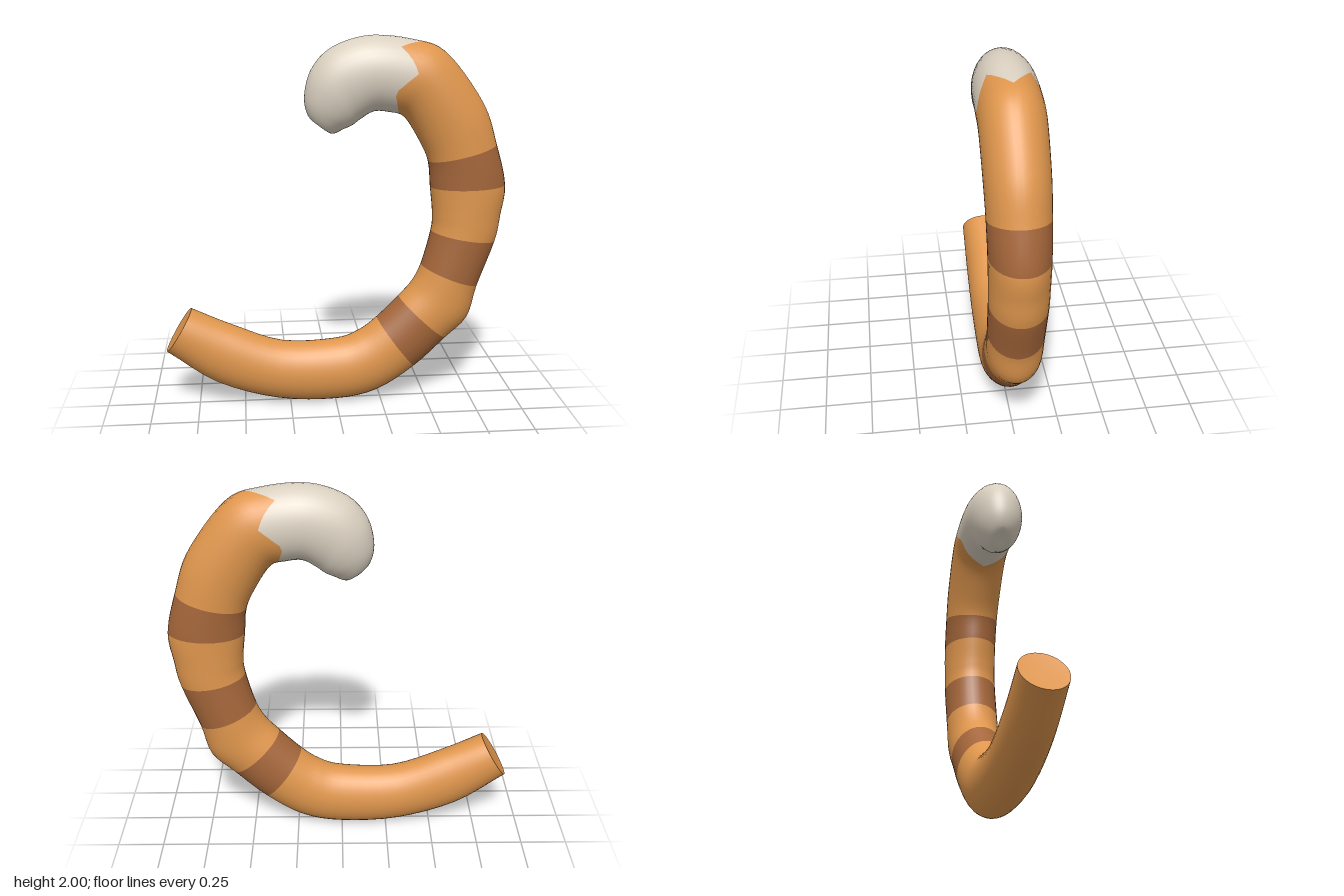
import * as THREE from 'three';

// Cross-sections from base to tip: outer edge x, y, inner edge x, y, half depth in z
const SECTIONS = [
  [-0.92, 0.32, -0.78, 0.55, 0.12],
  [-0.65, 0.13, -0.56, 0.45, 0.123],
  [-0.32, 0.025, -0.29, 0.35, 0.127],
  [0.0, 0.008, 0.0, 0.352, 0.132],
  [0.23, 0.055, 0.13, 0.395, 0.136],
  [0.44, 0.19, 0.23, 0.47, 0.139],
  [0.61, 0.35, 0.35, 0.59, 0.141],
  [0.73, 0.47, 0.42, 0.67, 0.143],
  [0.78, 0.65, 0.47, 0.77, 0.145],
  [0.87, 0.90, 0.52, 0.96, 0.147],
  [0.895, 1.04, 0.525, 1.06, 0.148],
  [0.915, 1.21, 0.51, 1.20, 0.15],
  [0.86, 1.43, 0.495, 1.34, 0.153],
  [0.78, 1.65, 0.44, 1.46, 0.157],
  [0.58, 1.91, 0.36, 1.58, 0.16],
  [0.40, 1.98, 0.28, 1.605, 0.161],
  [0.17, 2.0, 0.20, 1.61, 0.158],
  [-0.02, 1.94, 0.13, 1.57, 0.148],
  [-0.125, 1.83, 0.09, 1.54, 0.135],
  [-0.162, 1.69, 0.045, 1.52, 0.105],
  [-0.14, 1.585, -0.02, 1.495, 0.055],
  [-0.08, 1.54, -0.08, 1.54, 0],
];
const LAST = SECTIONS.length - 1;
const SIDES = 36;
const outer = new THREE.CatmullRomCurve3(
  SECTIONS.map(([x, y, , , d]) => new THREE.Vector3(x, y, d)), false, 'catmullrom');
const inner = new THREE.CatmullRomCurve3(
  SECTIONS.map(([, , x, y]) => new THREE.Vector3(x, y, 0)), false, 'catmullrom');

// Point on the skin: u counts sections, a runs round from the outer edge to the front
function skin(u, a) {
  const o = outer.getPoint(u / LAST), i = inner.getPoint(u / LAST);
  const k = (1 + Math.cos(a)) / 2;
  return new THREE.Vector3(
    THREE.MathUtils.lerp(i.x, o.x, k), THREE.MathUtils.lerp(i.y, o.y, k), o.z * Math.sin(a));
}

function skinNormal(u, a) {
  const e = 0.02, v = THREE.MathUtils.clamp(u, e, LAST - 2 * e);
  const along = skin(v + e, a).sub(skin(v - e, a));
  const around = skin(v, a + e).sub(skin(v, a - e));
  return along.cross(around).normalize();
}

// Zigzag edge of the pale tip, as [degrees from outer edge, section], same on both sides
const ZIGZAG = [[0, 14.6], [40, 15.3], [80, 14.6], [115, 15.2], [180, 14.2]];
function tipEdge(a) {
  const deg = 180 - Math.abs(180 - THREE.MathUtils.radToDeg(a));
  const n = Math.max(1, ZIGZAG.findIndex(p => p[0] >= deg - 1e-6));
  const [a0, u0] = ZIGZAG[n - 1], [a1, u1] = ZIGZAG[n];
  return THREE.MathUtils.mapLinear(deg, a0, a1, u0, u1);
}

// Skin between two edges; an edge is a function of the angle
function span(from, to, rows) {
  const pos = [], nor = [], index = [];
  for (let r = 0; r <= rows; r++) {
    for (let s = 0; s <= SIDES; s++) {
      const a = s / SIDES * Math.PI * 2;
      const u = THREE.MathUtils.lerp(from(a), to(a), r / rows);
      pos.push(...skin(u, a).toArray());
      nor.push(...skinNormal(u, a).toArray());
      if (r < rows && s < SIDES) {
        const p = r * (SIDES + 1) + s, q = p + SIDES + 1;
        index.push(p, q, p + 1, q, q + 1, p + 1);
      }
    }
  }
  const g = new THREE.BufferGeometry();
  g.setAttribute('position', new THREE.Float32BufferAttribute(pos, 3));
  g.setAttribute('normal', new THREE.Float32BufferAttribute(nor, 3));
  g.setIndex(index);
  return g;
}

// Slightly dished end that closes the base
function baseCap() {
  const pos = [-0.835, 0.44, 0], index = [];
  for (let s = 0; s < SIDES; s++) {
    pos.push(...skin(0, s / SIDES * Math.PI * 2).toArray());
    index.push(0, 1 + s, 1 + (s + 1) % SIDES);
  }
  const g = new THREE.BufferGeometry();
  g.setAttribute('position', new THREE.Float32BufferAttribute(pos, 3));
  g.setIndex(index);
  g.computeVertexNormals();
  return g;
}

export function createModel() {
  const material = (name, color) => {
    const m = new THREE.MeshStandardMaterial({ color });
    m.name = name;
    return m;
  };
  const orange = material('orange fur', 0xdf964d);
  const brown = material('brown stripe', 0xa4663a);
  const cream = material('cream tip', 0xdad0c0);

  const tail = new THREE.Group();
  tail.name = 'tail';
  const add = (name, geometry, mat) => {
    const mesh = new THREE.Mesh(geometry, mat);
    mesh.name = name;
    tail.add(mesh);
  };
  const at = u => () => u;

  add('baseCap', baseCap(), orange);
  // Fur and stripes alternate along the tail
  const parts = [
    ['baseFur', 0, 5, orange], ['lowerStripe', 5, 6, brown],
    ['lowerFur', 6, 8, orange], ['middleStripe', 8, 9, brown],
    ['middleFur', 9, 11, orange], ['upperStripe', 11, 12, brown],
  ];
  for (const [name, u0, u1, mat] of parts) add(name, span(at(u0), at(u1), (u1 - u0) * 4), mat);
  add('upperFur', span(at(12), tipEdge, 14), orange);
  add('tip', span(tipEdge, at(LAST), 30), cream);
  return tail;
}
